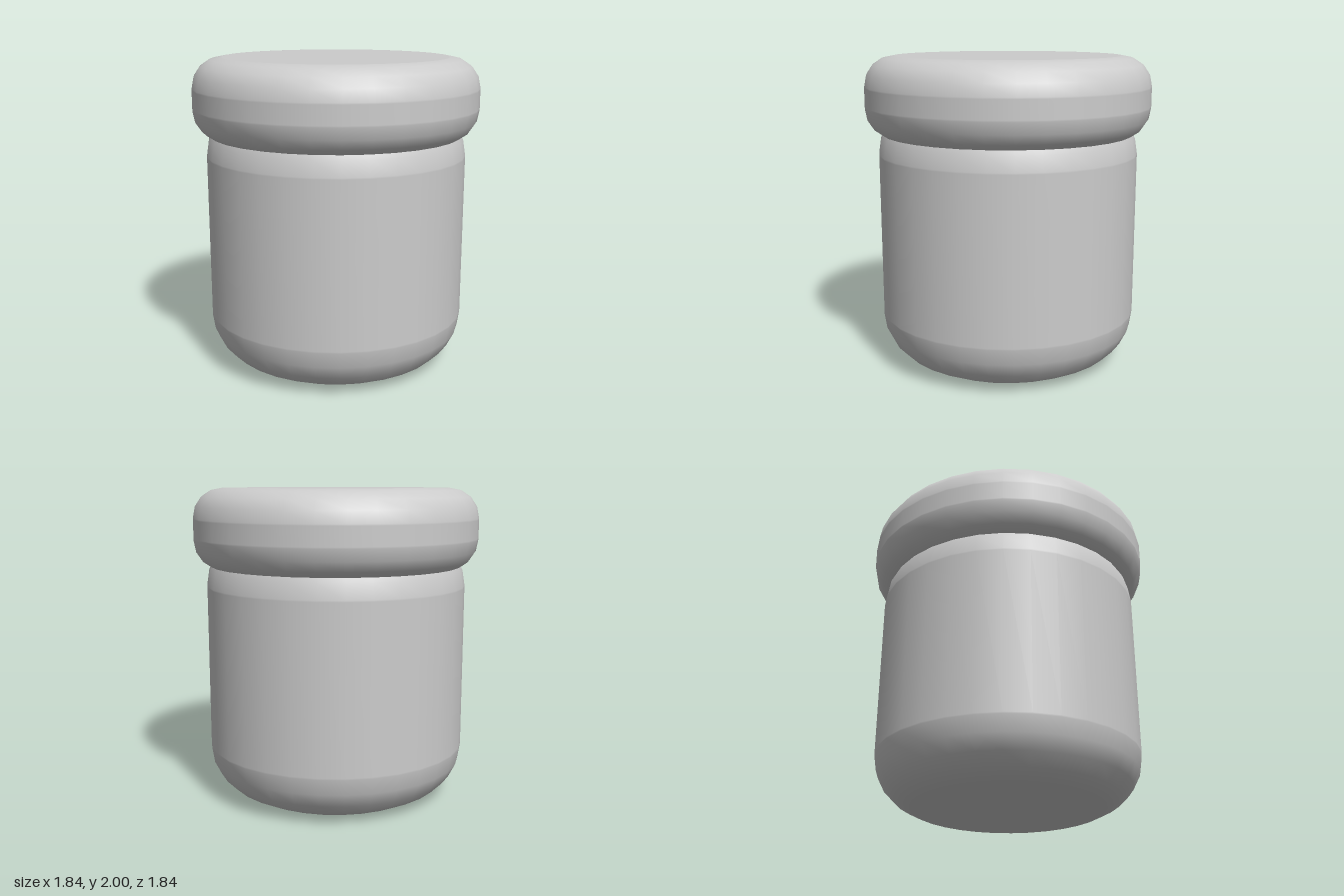
import * as THREE from 'three';

const SIDES = 32;

// Closed drum with rounded rims, turned from a bottom-to-top profile
function roundedDrum(radius, bottom, top, fillet, steps) {
  const flat = radius - fillet;
  const points = [new THREE.Vector2(0, bottom), new THREE.Vector2(flat - 0.01, bottom)];
  const arc = (centreY, start) => {
    for (let i = 0; i <= steps; i++) {
      const a = start + (i / steps) * Math.PI / 2;
      points.push(new THREE.Vector2(flat + fillet * Math.cos(a), centreY + fillet * Math.sin(a)));
    }
  };
  arc(bottom + fillet, -Math.PI / 2);
  // Extra rings keep the wall and caps evenly smooth
  points.push(new THREE.Vector2(radius, bottom + fillet + 0.01));
  points.push(new THREE.Vector2(radius, top - fillet - 0.01));
  arc(top - fillet, 0);
  points.push(new THREE.Vector2(flat - 0.01, top), new THREE.Vector2(0, top));
  return new THREE.LatheGeometry(points, SIDES);
}

export function createModel() {
  const group = new THREE.Group();
  group.name = 'lidded jar';

  const grey = new THREE.MeshStandardMaterial({ color: 0xcccccc });
  grey.name = 'light grey';

  // Jar body, its upper rim tucked inside the lid
  const body = new THREE.Mesh(roundedDrum(0.84, 0, 1.7, 0.32, 5), grey);
  body.name = 'jarBody';

  // Wider lid
  const lid = new THREE.Mesh(roundedDrum(0.92, 1.485, 2, 0.19, 4), grey);
  lid.name = 'lid';

  group.add(body, lid);
  return group;
}
